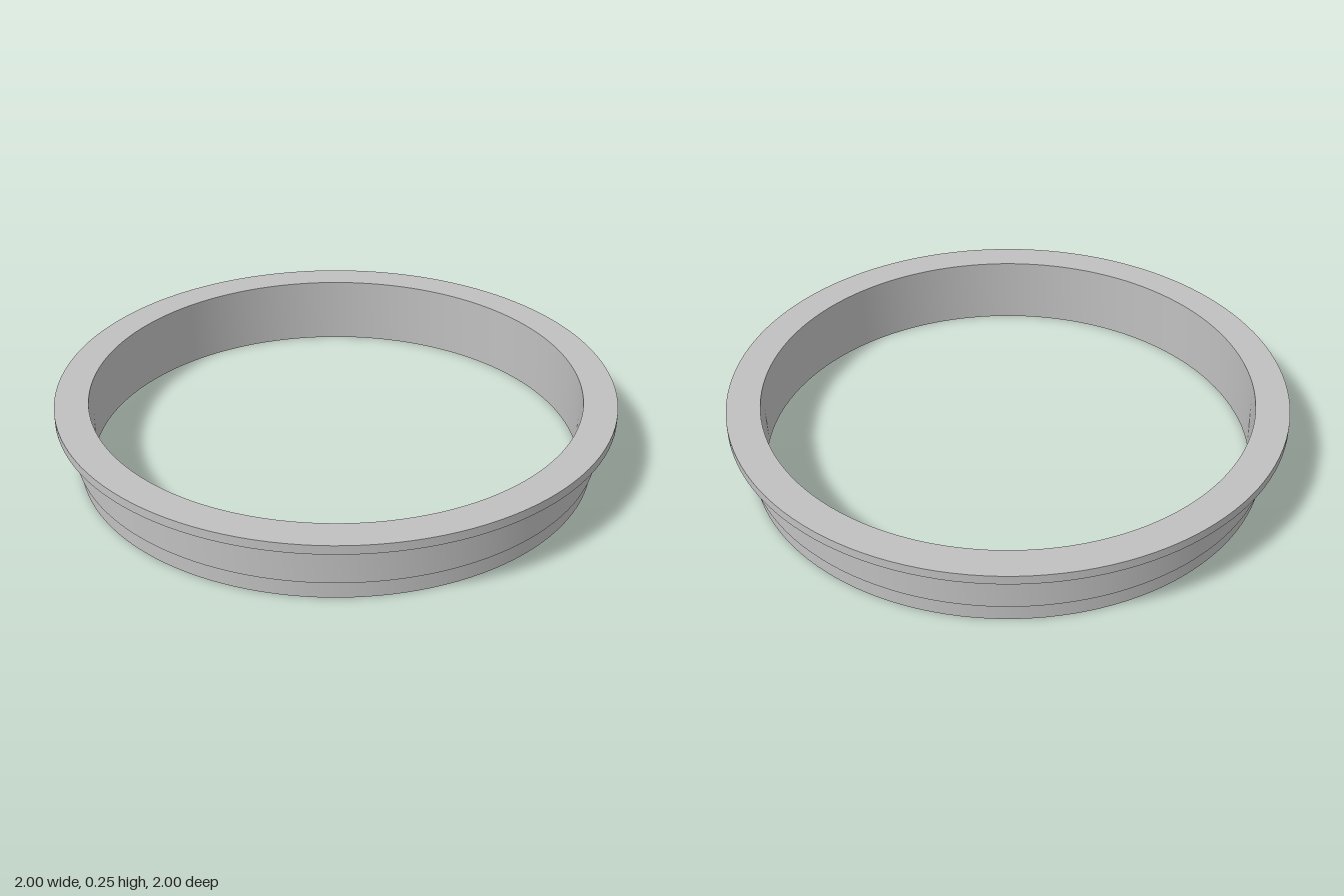
import * as THREE from 'three';
import { toCreasedNormals } from 'three/addons/utils/BufferGeometryUtils.js';

export function createModel() {
  const group = new THREE.Group();
  group.name = 'flangedRing';

  const greyMetal = new THREE.MeshStandardMaterial({ color: 0xc0c0c0 });
  greyMetal.name = 'grey metal';

  const bore = 0.88;
  const height = 0.25;

  // Closed cross-section [radius, y]: foot, stepped wall, top flange, bore
  const profile = [
    [bore, 0],
    [0.925, 0], [0.925, 0.067],
    [0.94, 0.067], [0.94, 0.217],
    [1, 0.217], [1, height],
    [bore, height],
    [bore, 0],
  ].map(([r, y]) => new THREE.Vector2(r, y));

  // Smooth around the ring, sharp at each step
  const geometry = toCreasedNormals(new THREE.LatheGeometry(profile, 128), Math.PI / 6);
  const ring = new THREE.Mesh(geometry, greyMetal);
  ring.name = 'steppedRing';
  group.add(ring);

  return group;
}
